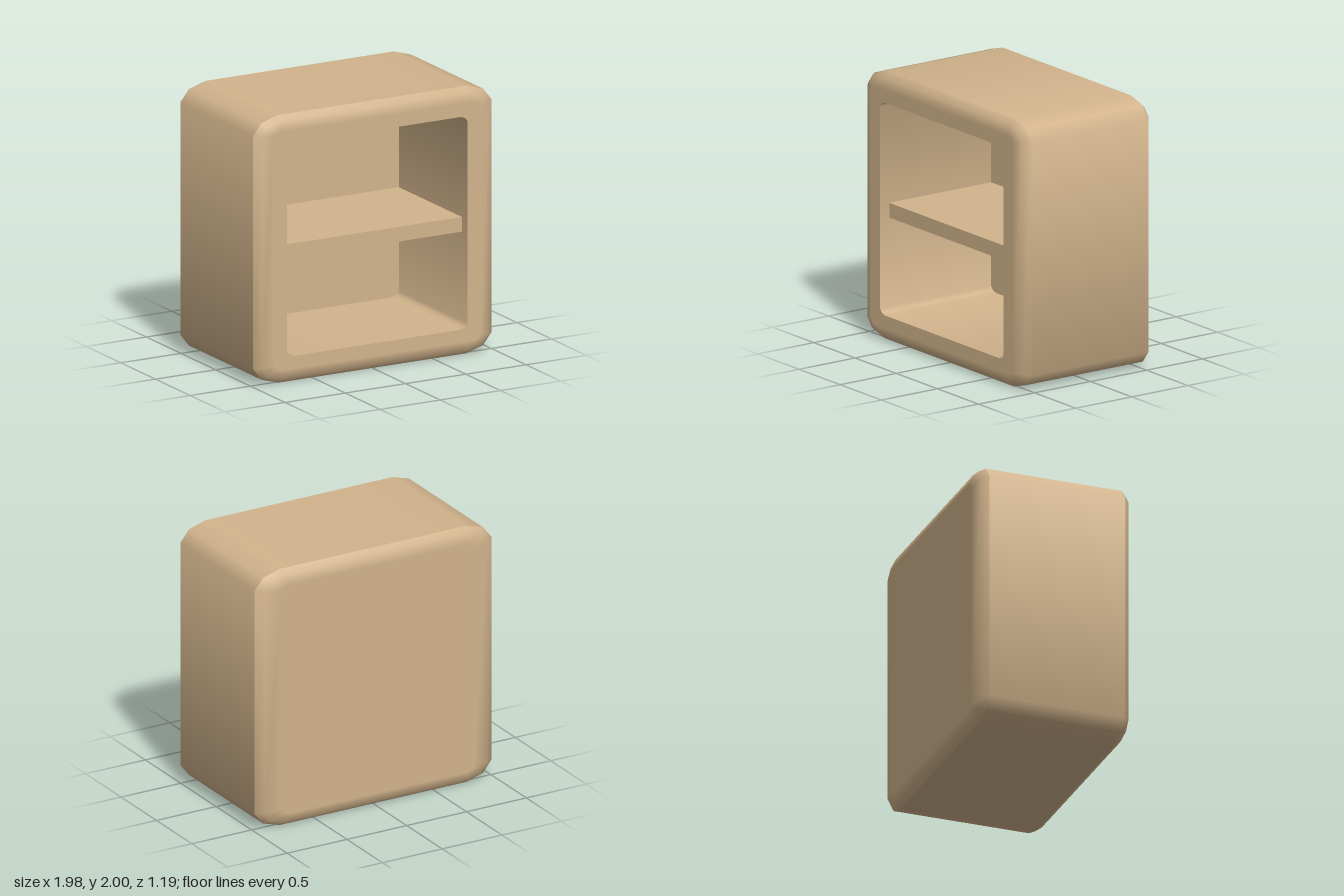
import * as THREE from 'three';

const MID_Y = 1; // height of the cabinet's centre

// Rounded rectangle: half sizes hx, hy, corner cuts cx, cy, counter-clockwise from the front
function ring(hx, hy, cx, cy) {
  const pts = [];
  for (const [sx, sy] of [[1, 1], [-1, 1], [-1, -1], [1, -1]]) {
    const corner = [[hx, hy - cy], [hx - cx / 3, hy - cy * 0.32], [hx - cx, hy]];
    if (sx * sy < 0) corner.reverse();
    for (const [x, y] of corner) pts.push(new THREE.Vector2(sx * x, sy * y));
  }
  return pts;
}

// Softened outward normals of a ring
function ringNormals(pts) {
  const n = pts.length;
  const edge = (i) => {
    const d = pts[(i + 1) % n].clone().sub(pts[i % n]).normalize();
    return new THREE.Vector2(d.y, -d.x);
  };
  return pts.map((_, i) => edge(i).add(edge(i + n - 1)).normalize());
}

// Skin through rings {pts, z, tilt}; tilt leans the normal towards +z, in degrees
function loft(rings, inward = false) {
  const pos = [], nor = [], idx = [];
  const n = rings[0].pts.length, s = inward ? -1 : 1;
  rings.forEach(({ pts, z, tilt }, r) => {
    const a = THREE.MathUtils.degToRad(tilt), normals = ringNormals(pts);
    pts.forEach((p, i) => {
      pos.push(p.x, p.y, z);
      nor.push(s * normals[i].x * Math.cos(a), s * normals[i].y * Math.cos(a), Math.sin(a));
      if (r === 0) return;
      const a0 = (r - 1) * n + i, a1 = (r - 1) * n + (i + 1) % n;
      const b0 = a0 + n, b1 = a1 + n;
      if (inward) idx.push(a0, b1, b0, a0, a1, b1);
      else idx.push(a0, b0, b1, a0, b1, a1);
    });
  });
  const g = new THREE.BufferGeometry();
  g.setAttribute('position', new THREE.Float32BufferAttribute(pos, 3));
  g.setAttribute('normal', new THREE.Float32BufferAttribute(nor, 3));
  g.setIndex(idx);
  return g;
}

export function createModel() {
  const group = new THREE.Group();
  group.name = 'cabinet';
  const wood = new THREE.MeshStandardMaterial({ color: 0xd2b48c });
  wood.name = 'light wood';

  const add = (name, geometry, z = 0, y = MID_Y) => {
    const mesh = new THREE.Mesh(geometry, wood);
    mesh.name = name;
    mesh.position.set(0, y, z);
    group.add(mesh);
    return mesh;
  };

  const outer = ring(0.99, 1, 0.21, 0.13);
  const opening = ring(0.75, 0.795, 0.06, 0.04);
  const backEdge = ring(0.8, 0.89, 0.06, 0.05);

  // Outer walls
  add('outerWalls', loft([
    { pts: outer, z: 0.52, tilt: 0 },
    { pts: outer, z: -0.525, tilt: 0 },
  ]));

  // Flat front frame rolling over into the rounded rim
  add('frontFrame', loft([
    { pts: opening, z: 0.592, tilt: 90 },
    { pts: ring(0.86, 0.89, 0.06, 0.05), z: 0.592, tilt: 90 },
    { pts: ring(0.94, 0.965, 0.16, 0.1), z: 0.565, tilt: 60 },
    { pts: outer, z: 0.52, tilt: 42 },
  ]));

  // Rounded back rim and back panel
  add('backRim', loft([
    { pts: outer, z: -0.525, tilt: -42 },
    { pts: ring(0.93, 0.965, 0.16, 0.1), z: -0.567, tilt: -60 },
    { pts: backEdge, z: -0.595, tilt: -90 },
  ]));
  add('backPanel', new THREE.ShapeGeometry(new THREE.Shape(backEdge)), -0.595).rotation.y = Math.PI;

  // Hollow inside
  add('innerWalls', loft([
    { pts: opening, z: 0.592, tilt: 0 },
    { pts: opening, z: -0.4, tilt: 0 },
  ], true));
  add('innerBack', new THREE.ShapeGeometry(new THREE.Shape(opening)), -0.4);

  // Shelf, set back slightly from the front
  add('shelf', new THREE.BoxGeometry(1.5, 0.11, 0.91), 0.055, 0.965);

  return group;
}
